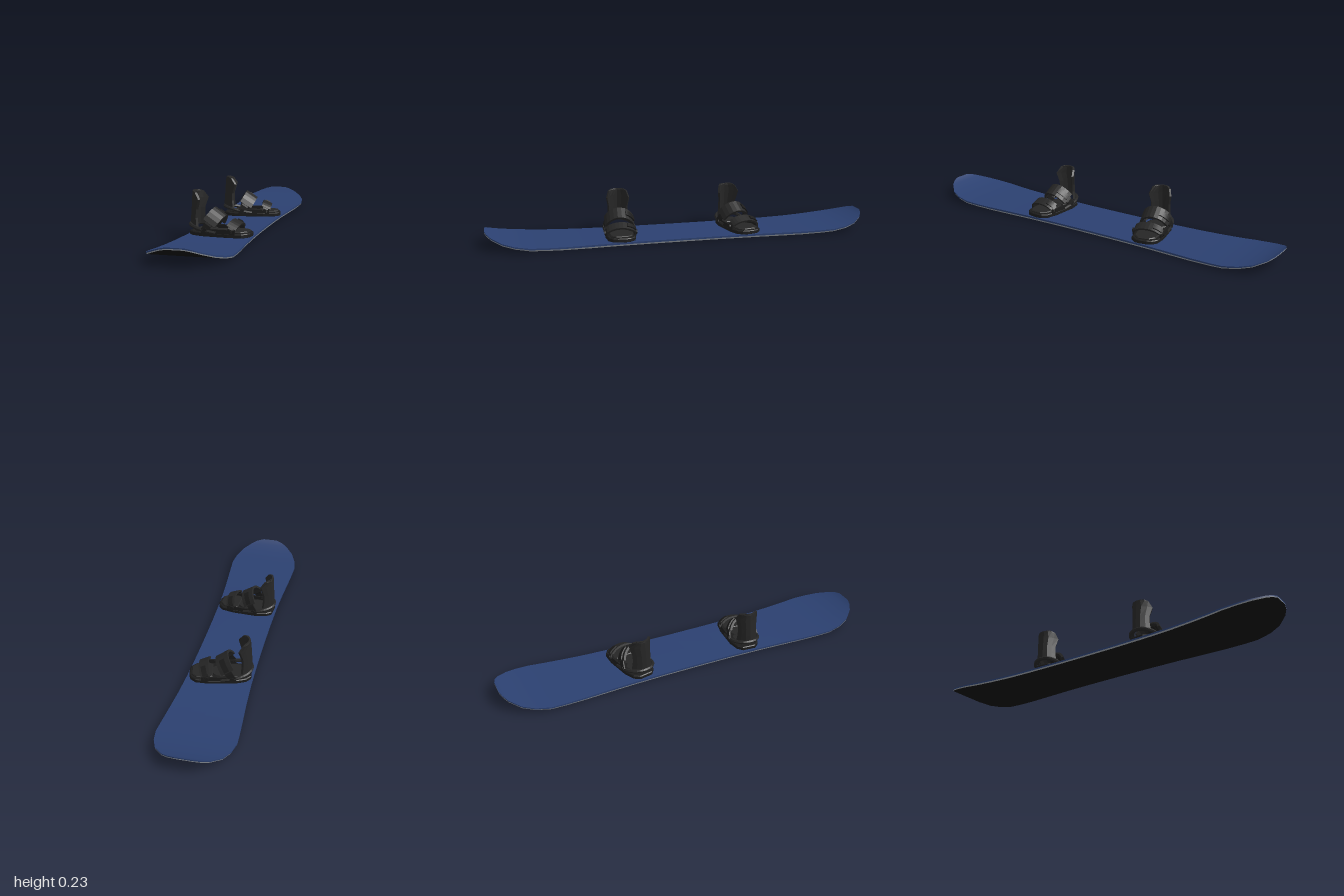
import * as THREE from 'three';

const mat = (color, flatShading = false) =>
  new THREE.MeshStandardMaterial({ color, flatShading, side: THREE.DoubleSide });
const blue = mat(0x2b4070), base = mat(0x121212), steel = mat(0x8c929a);
const black = mat(0x262626, true), dark = mat(0x1c1c1c, true);

function add(parent, name, geometry, material) {
  const mesh = new THREE.Mesh(geometry, material);
  mesh.name = name;
  parent.add(mesh);
  return mesh;
}

// Surface through rows of points; normals point along rowDir x colDir
function grid(rows) {
  const C = rows[0].length, index = [];
  for (let r = 0; r < rows.length - 1; r++)
    for (let c = 0; c < C - 1; c++) {
      const a = r * C + c;
      index.push(a, a + C, a + 1, a + 1, a + C, a + C + 1);
    }
  const g = new THREE.BufferGeometry();
  g.setAttribute('position', new THREE.Float32BufferAttribute(rows.flat(2), 3));
  g.setIndex(index);
  g.computeVertexNormals();
  return g;
}

// Deck, running base and two-tone side wall, from stations along z
function buildBoard() {
  const board = new THREE.Group();
  board.name = 'board';
  // distance from centre, half width, underside height, thickness
  const half = [
    [0.18, 0.159, 0, 0.016], [0.36, 0.163, 0, 0.016], [0.5, 0.17, 0, 0.016],
    [0.62, 0.179, 0.002, 0.015], [0.72, 0.186, 0.006, 0.014], [0.79, 0.19, 0.011, 0.013],
    [0.86, 0.178, 0.021, 0.012], [0.92, 0.153, 0.035, 0.011], [0.97, 0.108, 0.055, 0.01],
    [0.99, 0.075, 0.067, 0.01], [1, 0.04, 0.075, 0.01],
  ];
  const stations = [
    ...half.map(([z, ...s]) => [-z, ...s]).reverse(),
    [0, 0.158, 0, 0.016], ...half,
  ];
  const span = [-1, -0.5, 0, 0.5, 1];
  const deck = stations.map(([z, w, y, t]) => span.map(s => [s * w, y + t, z]));
  const under = stations.map(([z, w, y]) => span.map(s => [-s * w * 0.985, y, z]));
  // Closed loop round the board at a given fraction of its thickness
  const rim = (f, k) => {
    const right = stations.map(([z, w, y, t]) => [w * k, y + t * f, z]);
    const left = stations.map(([z, w, y, t]) => [-w * k, y + t * f, z]).reverse();
    return [...right, ...left, right[0]];
  };
  add(board, 'deck', grid(deck), blue);
  add(board, 'runningBase', grid(under), base);
  add(board, 'metalEdge', grid([rim(0, 0.985), rim(0.45, 1)]), steel);
  add(board, 'sideWall', grid([rim(0.45, 1), rim(1, 1)]), blue);
  return board;
}

// Flat plate from a half outline (x, half width), mirrored in z
function plate(outline, y, height) {
  const pts = [...outline, ...outline.map(([x, w]) => [x, -w]).reverse()];
  const shape = new THREE.Shape(pts.map(([x, z]) => new THREE.Vector2(x, z)));
  const g = new THREE.ExtrudeGeometry(shape, {
    depth: height - 0.008, bevelThickness: 0.004, bevelSize: 0.004, bevelOffset: -0.004, bevelSegments: 1,
  });
  return g.rotateX(-Math.PI / 2).translate(0, y + 0.004, 0);
}

// Arched band over the foot, between two angles (0 to PI), leaning by tilt
function strap(x, y, w, h, width, thick, tilt, from = 0, to = Math.PI) {
  const n = 9, outer = [], inner = [];
  for (let i = 0; i <= n; i++) {
    const a = from + (to - from) * i / n;
    const c = Math.cos(a), s = Math.sin(a);
    outer.push(new THREE.Vector2(w * c, h * s));
    inner.push(new THREE.Vector2((w - thick) * c, (h - thick) * s));
  }
  const shape = new THREE.Shape([...outer, ...inner.reverse()]);
  return new THREE.ExtrudeGeometry(shape, { depth: width, bevelEnabled: false })
    .translate(0, 0, -width / 2).rotateY(Math.PI / 2).rotateZ(tilt).translate(x, y, 0);
}

// Curved upright shell behind the heel
function highback() {
  // height, rear x, half width, wrap depth, thickness
  const levels = [
    [0.058, -0.158, 0.058, 0.05, 0], [0.058, -0.158, 0.058, 0.05, 0.01],
    [0.1, -0.156, 0.053, 0.044, 0.01], [0.14, -0.153, 0.052, 0.042, 0.01],
    [0.19, -0.15, 0.061, 0.054, 0.01], [0.222, -0.147, 0.05, 0.03, 0.01],
    [0.23, -0.145, 0.034, 0.012, 0.008], [0.23, -0.145, 0.034, 0.012, 0],
  ];
  const steps = [-1, -0.75, -0.4, 0, 0.4, 0.75, 1];
  return grid(levels.map(([y, x, w, d, t]) => {
    const back = steps.map(s => [x + d * s * s, y, -w * s]);
    const front = steps.map(s => [x + t + d * s * s, y, -(w - t * 0.6) * s]).reverse();
    return [...back, ...front, back[0]];
  }));
}

// One binding with its toe along +x
function buildBinding(name, z, turn) {
  const b = new THREE.Group();
  b.name = name;
  b.position.z = z;
  b.rotation.y = turn;
  add(b, 'basePlate', plate([
    [-0.15, 0.035], [-0.125, 0.06], [-0.07, 0.075], [0.06, 0.078],
    [0.125, 0.068], [0.15, 0.045], [0.157, 0.02],
  ], 0.013, 0.022), dark);
  add(b, 'heelPad', plate([[-0.125, 0.03], [-0.1, 0.05], [-0.045, 0.055], [-0.03, 0.04]], 0.032, 0.012), black);
  add(b, 'toePad', plate([[0.04, 0.05], [0.06, 0.062], [0.12, 0.055], [0.145, 0.03]], 0.032, 0.012), black);
  add(b, 'mountingDisc', new THREE.CylinderGeometry(0.042, 0.045, 0.008, 16).translate(0.005, 0.037, 0), black);

  // Hoop rising from the side rails round the heel
  const hoop = [[0.0, 0.035, 0.075], [-0.06, 0.045, 0.075], [-0.11, 0.056, 0.065], [-0.145, 0.064, 0.036]];
  const path = [...hoop, [-0.154, 0.066, 0], ...hoop.map(([x, y, w]) => [x, y, -w]).reverse()];
  const curve = new THREE.CatmullRomCurve3(path.map(p => new THREE.Vector3(...p)));
  add(b, 'heelHoop', new THREE.TubeGeometry(curve, 24, 0.009, 6), black);
  for (const side of [-1, 1]) {
    add(b, 'sideRail', new THREE.BoxGeometry(0.17, 0.022, 0.01).translate(0.01, 0.042, side * 0.071), dark);
    for (const x of [-0.055, 0.068])
      add(b, 'strapPivot', new THREE.CylinderGeometry(0.011, 0.011, 0.008, 8)
        .rotateX(Math.PI / 2).translate(x, 0.046, side * 0.08), dark);
  }

  add(b, 'highback', highback(), black);

  // Ankle strap with wide pad and buckle
  add(b, 'ankleStrap', strap(-0.06, 0.042, 0.082, 0.103, 0.036, 0.007, -0.58), dark);
  add(b, 'anklePad', strap(-0.06, 0.042, 0.084, 0.108, 0.07, 0.012, -0.58, 0.45, 2.7), black);
  add(b, 'ankleBuckle', strap(-0.06, 0.042, 0.09, 0.114, 0.028, 0.01, -0.58, 0.5, 1.2), dark);

  // Toe strap with pad and buckle
  add(b, 'toeStrap', strap(0.068, 0.042, 0.08, 0.046, 0.028, 0.006, -0.4), dark);
  add(b, 'toePadStrap', strap(0.068, 0.042, 0.081, 0.05, 0.05, 0.01, -0.4, 0.5, 2.65), black);
  add(b, 'toeBuckle', strap(0.068, 0.042, 0.087, 0.056, 0.024, 0.009, -0.4, 0.5, 1.2), dark);
  return b;
}

export function createModel() {
  const model = new THREE.Group();
  model.name = 'snowboard';
  model.add(
    buildBoard(),
    buildBinding('frontBinding', 0.32, -0.08),
    buildBinding('rearBinding', -0.31, 0.2),
  );
  return model;
}
